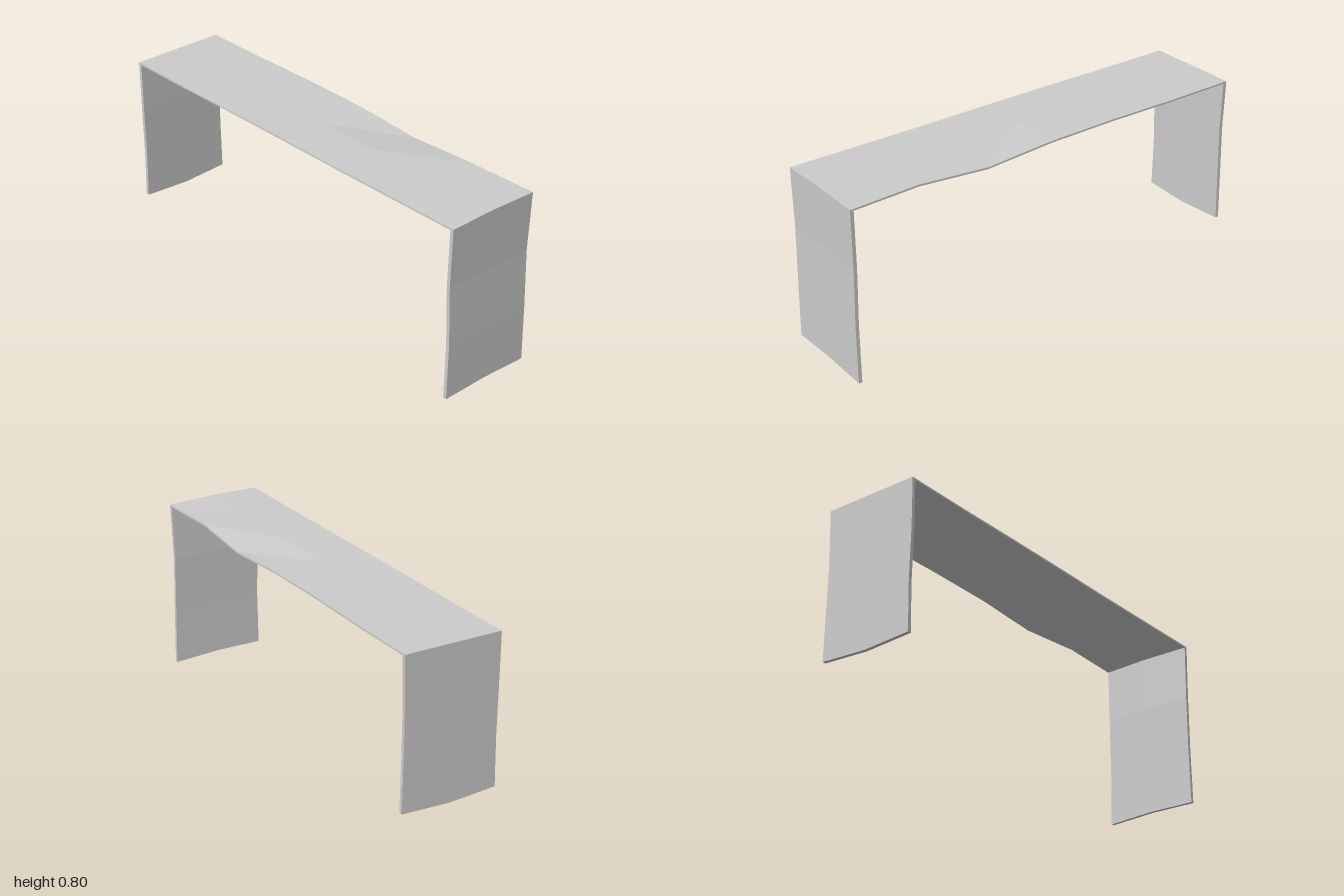
import * as THREE from 'three';

const HALF_LENGTH = 0.98, HALF_WIDTH = 0.221, TOP = 0.796;
const material = new THREE.MeshStandardMaterial({ color: 0xcccccc, flatShading: true });

// A subdivided slab whose vertices are moved by a rule.
function warpedSlab(name, size, segments, centre, warp) {
  const geometry = new THREE.BoxGeometry(...size, ...segments).translate(...centre);
  const pos = geometry.attributes.position;
  const p = new THREE.Vector3();
  for (let i = 0; i < pos.count; i++) {
    warp(p.fromBufferAttribute(pos, i));
    pos.setXYZ(i, p.x, p.y, p.z);
  }
  geometry.computeVertexNormals();
  const mesh = new THREE.Mesh(geometry, material);
  mesh.name = name;
  return mesh;
}

// Top offsets per row (back, middle, front), seven stations from -x to +x
const topDips = [
  [0, -0.002, 0.001, -0.003, -0.024, -0.003, -0.006],
  [0, -0.002, 0.003, -0.004, 0, -0.002, 0.002],
  [-0.001, -0.002, 0, 0, -0.002, -0.001, 0],
];

function createTop() {
  const h = 0.008;
  return warpedSlab('tabletop', [2 * HALF_LENGTH, h, 2 * HALF_WIDTH], [6, 1, 2],
    [0, TOP - h / 2, 0], (p) => {
      const col = Math.round((p.x / HALF_LENGTH + 1) * 3);
      const row = Math.round(p.z / HALF_WIDTH + 1);
      p.y += topDips[row][col];
      if (row === 0 && col === 5) p.z += 0.01;
    });
}

// side: +1 or -1; feet: bottom heights at back, middle, front
function createLeg(name, side, feet) {
  const thick = 0.016, top = TOP - 0.006;
  return warpedSlab(name, [thick, top, 2 * HALF_WIDTH], [1, 3, 2],
    [side * (HALF_LENGTH - thick / 2), top / 2, 0], (p) => {
      const row = Math.round((p.y / top) * 3);
      const col = Math.round(p.z / HALF_WIDTH + 1);
      const foot = feet[col];
      p.y = foot + (p.y / top) * (top - foot);
      if (col === 0) p.y -= (row === 3 && side > 0) ? 0.006 : 0;
      // Slight waviness of the upright edges
      if (row === 2 && col === 0) p.z += 0.006;
      if (row === 1 && col !== 1) p.z -= Math.sign(p.z) * 0.004;
      if (row === 2) p.x -= side > 0 ? 0.006 : -0.002;
    });
}

export function createModel() {
  const model = new THREE.Group();
  model.name = 'bench';
  const frame = new THREE.Group();
  frame.name = 'benchFrame';
  frame.rotation.y = 0.121;
  frame.add(
    createTop(),
    createLeg('leftLeg', 1, [0.002, 0.014, 0.012]),
    createLeg('rightLeg', -1, [0.12, 0.108, 0.12]),
  );
  model.add(frame);
  return model;
}
